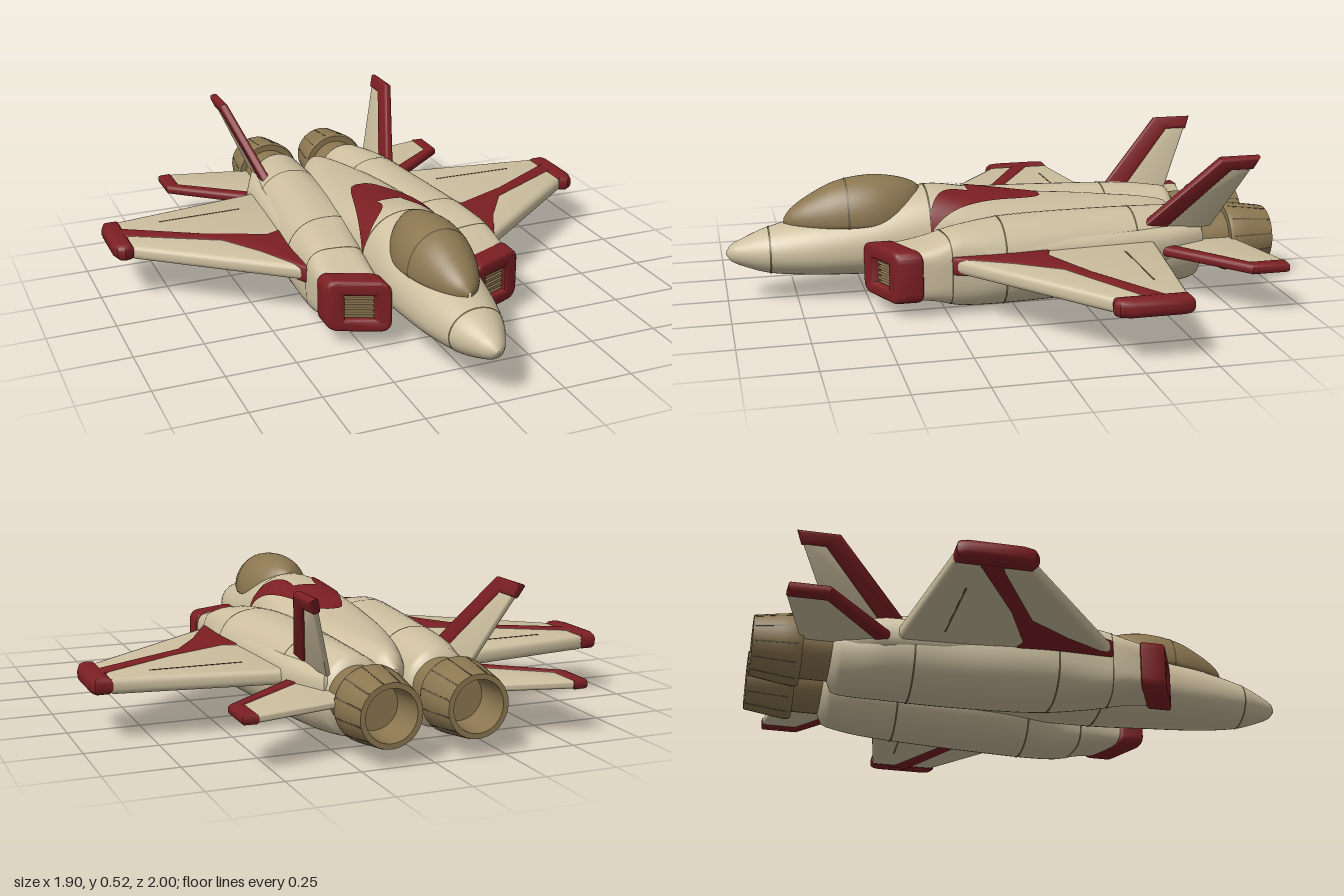
import * as THREE from 'three';
import { mergeVertices, toCreasedNormals } from 'three/addons/utils/BufferGeometryUtils.js';

const material = (name, color, side = THREE.FrontSide) => {
  const m = new THREE.MeshStandardMaterial({ color, side });
  m.name = name;
  return m;
};

// Cross-section rows: z, centre x, centre y, half width, height above, depth below, squareness
const FUSELAGE = [
  [1, 0, 0.19, 0.004, 0.004, 0.004, 2], [0.985, 0, 0.19, 0.028, 0.027, 0.027, 2],
  [0.94, 0, 0.19, 0.056, 0.05, 0.05, 2], [0.85, 0, 0.19, 0.098, 0.085, 0.078, 2],
  [0.7, 0, 0.19, 0.135, 0.118, 0.092, 2.1], [0.5, 0, 0.2, 0.16, 0.14, 0.11, 2.2],
  [0.28, 0, 0.2, 0.172, 0.2, 0.12, 2.2], [0.1, 0, 0.2, 0.19, 0.178, 0.11, 2.4],
  [-0.1, 0, 0.2, 0.19, 0.145, 0.1, 2.6], [-0.4, 0, 0.2, 0.14, 0.12, 0.1, 2.6],
  [-0.65, 0, 0.2, 0.06, 0.09, 0.09, 2], [-0.7, 0, 0.2, 0.015, 0.04, 0.04, 2],
];
const CANOPY = [
  [0.79, 0, 0.3, 0.006, 0.008, 0.02, 2], [0.765, 0, 0.3, 0.04, 0.04, 0.03, 2],
  [0.7, 0, 0.3, 0.08, 0.085, 0.05, 2], [0.6, 0, 0.3, 0.115, 0.132, 0.05, 2],
  [0.48, 0, 0.3, 0.131, 0.15, 0.05, 2], [0.38, 0, 0.3, 0.112, 0.14, 0.05, 2],
  [0.31, 0, 0.31, 0.065, 0.105, 0.05, 2], [0.285, 0, 0.32, 0.01, 0.07, 0.03, 2],
];
const NACELLE = [
  [0.46, 0.262, 0.16, 0.096, 0.088, 0.088, 5], [0.34, 0.262, 0.16, 0.105, 0.11, 0.1, 4],
  [0.2, 0.25, 0.16, 0.118, 0.145, 0.13, 3], [0, 0.215, 0.165, 0.155, 0.157, 0.153, 2.3],
  [-0.3, 0.19, 0.165, 0.148, 0.157, 0.155, 2.2], [-0.55, 0.175, 0.165, 0.14, 0.152, 0.15, 2],
  [-0.68, 0.155, 0.165, 0.12, 0.14, 0.14, 2], [-0.72, 0.15, 0.17, 0.112, 0.125, 0.13, 2],
  [-0.735, 0.15, 0.17, 0.09, 0.09, 0.09, 2],
];

// Smoothly interpolated cross-section at z
function sectionAt(rows, z) {
  let i = 0;
  while (i < rows.length - 2 && z < rows[i + 1][0]) i++;
  const p = rows[i], q = rows[i + 1], o = rows[i - 1] ?? p, r = rows[i + 2] ?? q;
  const h = q[0] - p[0], t = Math.min(1, Math.max(0, (z - p[0]) / h));
  return p.map((v, k) => {
    const m0 = (q[k] - o[k]) / (q[0] - o[0]) * h, m1 = (r[k] - p[k]) / (r[0] - p[0]) * h;
    return v * (2 * t ** 3 - 3 * t * t + 1) + m0 * (t ** 3 - 2 * t * t + t)
      + q[k] * (3 * t * t - 2 * t ** 3) + m1 * (t ** 3 - t * t);
  });
}
function pointOn(rows, z, a, grow = 0) {
  const [, cx, cy, rx, up, down, e] = sectionAt(rows, z);
  const c = Math.cos(a), s = Math.sin(a), pw = (v) => Math.sign(v) * Math.abs(v) ** (2 / e);
  return [cx + (rx + grow) * pw(c), cy + ((s > 0 ? up : down) + grow) * pw(s), z];
}

// Surface from a grid of points; f(u, v) with v running round the section
function surface(nu, nv, f) {
  const pos = [], idx = [];
  for (let i = 0; i <= nu; i++) for (let j = 0; j <= nv; j++) pos.push(...f(i / nu, j / nv));
  for (let i = 0; i < nu; i++) for (let j = 0; j < nv; j++) {
    const a = i * (nv + 1) + j, b = a + nv + 1;
    idx.push(a, b, a + 1, b, b + 1, a + 1);
  }
  let g = new THREE.BufferGeometry();
  g.setAttribute('position', new THREE.Float32BufferAttribute(pos, 3));
  g.setIndex(idx);
  g = mergeVertices(g, 1e-5);
  g.computeVertexNormals();
  return g;
}
const loft = (rows, z0 = rows[0][0], z1 = rows.at(-1)[0], grow = 0, n = 60) =>
  surface(n, 48, (u, v) => pointOn(rows, z0 + (z1 - z0) * u, v * Math.PI * 2, grow));
const seam = (rows, z) => loft(rows, z, z - 0.007, 0.002, 1);

// Sweeps the intake mouth back towards its outer side
function sweepMouth(g, full = false) {
  const p = g.attributes.position;
  for (let i = 0; i < p.count; i++) {
    const k = full ? 1 : Math.max(0, (p.getZ(i) - 0.2) / 0.24);
    p.setZ(i, p.getZ(i) - (p.getX(i) - 0.165) * 0.45 * k);
  }
  g.computeVertexNormals();
  return g;
}

// Horizontal rounded plate from [x, z] corners
function plate(points, thick, y, bevel = thick * 0.35) {
  const shape = new THREE.Shape(points.map(([x, z]) => new THREE.Vector2(x, -z)));
  const g = new THREE.ExtrudeGeometry(shape, {
    depth: thick - 2 * bevel, bevelThickness: bevel, bevelSize: bevel, bevelOffset: -bevel, bevelSegments: 3,
  });
  g.translate(0, 0, bevel - thick / 2).rotateX(-Math.PI / 2).translate(0, y, 0);
  return toCreasedNormals(g, 0.7);
}
const fin = (points, thick) => plate(points, thick, 0).rotateZ(1.21).translate(0.27, 0.29, 0);

function roundedRect(Type, x0, y0, x1, y1, r) {
  const s = new Type();
  s.moveTo(x0 + r, y0).lineTo(x1 - r, y0).quadraticCurveTo(x1, y0, x1, y0 + r);
  s.lineTo(x1, y1 - r).quadraticCurveTo(x1, y1, x1 - r, y1).lineTo(x0 + r, y1);
  s.quadraticCurveTo(x0, y1, x0, y1 - r).lineTo(x0, y0 + r).quadraticCurveTo(x0, y0, x0 + r, y0);
  return s;
}

function mirrored(geometry) {
  const g = mergeVertices(geometry.clone(), 1e-6).scale(-1, 1, 1), ix = g.index;
  for (let i = 0; i < ix.count; i += 3) {
    const b = ix.getX(i + 1);
    ix.setX(i + 1, ix.getX(i + 2));
    ix.setX(i + 2, b);
  }
  return g;
}

export function createModel() {
  const cream = material('cream hull', 0xcdbf9f), red = material('dark red trim', 0x7c1f23);
  const bronze = material('bronze', 0x8b7650), dark = material('panel line', 0x62563f);
  const creamOpen = cream;
  const model = new THREE.Group();
  model.name = 'jet';
  const add = (name, g, m) => {
    const mesh = new THREE.Mesh(g, m);
    mesh.name = name;
    model.add(mesh);
  };
  const pair = (name, g, m) => {
    add(name + 'Left', g, m);
    add(name + 'Right', mirrored(g), m);
  };

  // Fuselage, canopy and their seams
  add('fuselage', loft(FUSELAGE, 1, -0.7, 0, 110), cream);
  add('canopy', loft(CANOPY), bronze);
  add('canopyBow', seam(CANOPY, 0.57), dark);
  for (const z of [0.85, 0.28]) add('fuselageSeam', seam(FUSELAGE, z), dark);

  // Forked red patch on the spine
  const spine = (z0, z1, inner, outer) => surface(16, 10, (u, v) => {
    const z = z0 + (z1 - z0) * u, s = sectionAt(FUSELAGE, z);
    const x = outer(z) + (inner(z) - outer(z)) * v;
    return pointOn(FUSELAGE, z, Math.acos(Math.min(1, (x / s[3]) ** (s[6] / 2))), 0.005);
  });
  const outer = (z) => z < -0.1 ? 0.02 + 0.04 * Math.sqrt(Math.max(0, (z + 0.16) / 0.06)) : 0.06 + 0.106 * ((z + 0.1) / 0.38) ** 0.9;
  pair('spinePatch', spine(0.12, -0.16, () => 0, outer), red);
  pair('spineFork', spine(0.28, 0.12, (z) => 0.045 + 0.1 * ((z - 0.12) / 0.16) ** 3, outer), red);

  // Engine nacelles with shoulder fairings
  pair('nacelle', sweepMouth(loft(NACELLE)), creamOpen);
  for (const z of [0.27, 0.05, -0.45]) pair('nacelleSeam', sweepMouth(seam(NACELLE, z)), dark);
  pair('shoulder', plate([[0.2, 0.1], [0.355, 0.24], [0.368, 0.1], [0.342, -0.3], [0.328, -0.56], [0.262, -0.72], [0.15, -0.72]], 0.13, 0.2), cream);

  // Intake frames with slatted grilles
  const mouth = roundedRect(THREE.Shape, 0.172, 0.08, 0.352, 0.24, 0.03);
  mouth.holes.push(roundedRect(THREE.Path, 0.178, 0.082, 0.325, 0.23, 0.015));
  const frameShape = roundedRect(THREE.Shape, 0.17, 0.078, 0.355, 0.243, 0.03);
  frameShape.holes.push(roundedRect(THREE.Path, 0.196, 0.1, 0.318, 0.213, 0.012));
  const frame = new THREE.ExtrudeGeometry(frameShape, { depth: 0.07, bevelThickness: 0.012, bevelSize: 0.012, bevelSegments: 3 });
  pair('intakeFrame', toCreasedNormals(sweepMouth(frame.translate(0, 0, 0.442), true), 0.7), red);
  pair('intakeBack', sweepMouth(new THREE.BoxGeometry(0.15, 0.14, 0.008).translate(0.257, 0.157, 0.462), true), dark);
  for (let i = 0; i < 6; i++) {
    const slat = new THREE.BoxGeometry(0.14, 0.011, 0.03).translate(0.257, 0.109 + i * 0.019, 0.485);
    pair('intakeSlat', toCreasedNormals(sweepMouth(slat, true), 0.5), bronze);
  }

  // Main wings with red stripe and tip
  pair('wing', plate([[0.28, 0.3], [0.37, 0.235], [0.89, -0.18], [0.89, -0.43], [0.28, -0.52]], 0.056, 0.2), cream);
  pair('wingStripe', plate([[0.33, 0.265], [0.375, 0.238], [0.47, 0.05], [0.57, -0.1], [0.9, -0.28], [0.9, -0.355], [0.61, -0.185], [0.4, -0.095], [0.33, -0.12]], 0.064, 0.2, 0.01), red);
  pair('wingTip', plate([[0.88, -0.175], [0.915, -0.165], [0.94, -0.18], [0.952, -0.22], [0.952, -0.4], [0.94, -0.432], [0.88, -0.432]], 0.062, 0.203, 0.022), red);
  pair('wingHinge', new THREE.BoxGeometry(0.32, 0.0585, 0.006).rotateY(-0.02).translate(0.58, 0.2, -0.365), dark);

  // Tailplanes
  pair('tailplane', plate([[0.15, -0.46], [0.33, -0.57], [0.59, -0.79], [0.59, -0.91], [0.54, -0.912], [0.15, -0.82]], 0.026, 0.185), cream);
  pair('tailplaneEdge', plate([[0.27, -0.5], [0.33, -0.545], [0.603, -0.775], [0.603, -0.912], [0.55, -0.915], [0.55, -0.785], [0.33, -0.615], [0.27, -0.57]], 0.036, 0.185), red);

  // Canted vertical fins
  pair('fin', fin([[-0.04, -0.48], [0.25, -0.745], [0.25, -0.875], [0.2, -0.855], [-0.04, -0.745]], 0.02), cream);
  pair('finEdge', fin([[-0.04, -0.465], [0.258, -0.735], [0.258, -0.885], [0.208, -0.866], [0.208, -0.782], [-0.04, -0.565]], 0.032), red);

  // Hollow exhaust nozzles with petal joints
  const profile = [[0.1, 0.68], [0.1, 0.83], [0.124, 0.83], [0.129, 0.845], [0.122, 0.9], [0.106, 1], [0.088, 1], [0.08, 0.87], [0, 0.87]];
  const nozzle = new THREE.LatheGeometry(profile.map(([r, y]) => new THREE.Vector2(r, y)), 32);
  pair('nozzle', toCreasedNormals(nozzle.rotateX(-Math.PI / 2).translate(0.15, 0.175, 0), 0.5), bronze);
  for (let i = 0; i < 12; i++) {
    const joint = new THREE.BoxGeometry(0.005, 0.005, 0.15).rotateX(-0.145).translate(0, 0.1165, -0.92);
    pair('petalJoint', joint.rotateZ(i * Math.PI / 6 + 0.26).translate(0.15, 0.175, 0), dark);
  }
  return model;
}
